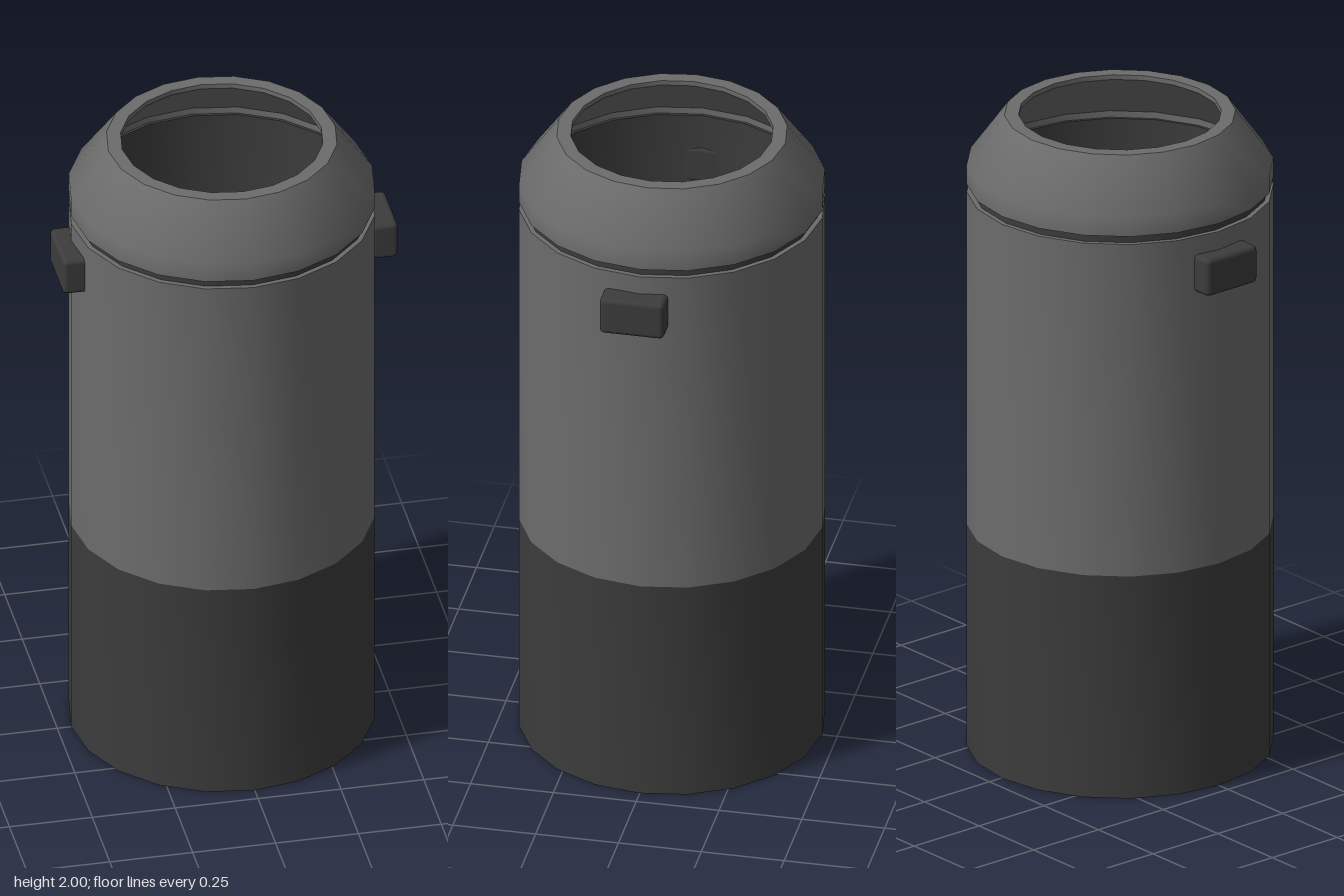
import * as THREE from 'three';
import { toCreasedNormals } from 'three/addons/utils/BufferGeometryUtils.js';
import { RoundedBoxGeometry } from 'three/addons/geometries/RoundedBoxGeometry.js';

const SIDES = 20;
const R = 0.454;

const grey = new THREE.MeshStandardMaterial({ color: 0x6c6c6c });
const dark = new THREE.MeshStandardMaterial({ color: 0x3c3c3c });

// Turns a [radius, height] profile into a round part; edges sharper than `crease` stay hard
function turned(name, profile, material, crease = 0.7) {
  const points = profile.map(([r, y]) => new THREE.Vector2(r, y));
  let geometry = new THREE.LatheGeometry(points, SIDES);
  if (crease) geometry = toCreasedNormals(geometry, crease);
  const mesh = new THREE.Mesh(geometry, material);
  mesh.name = name;
  return mesh;
}

export function createModel() {
  const model = new THREE.Group();
  model.name = 'bin';

  const drum = new THREE.Group();
  drum.name = 'drum';
  drum.position.x = -0.004;
  model.add(drum);

  // Dark lower band with closed bottom, lighter shell above it
  drum.add(turned('baseBand', [[0, 0], [R, 0], [R, 0.705]], dark));
  drum.add(turned('shell', [[R, 0.705], [R, 1.76], [0.43, 1.76]], grey));

  // Liner: its collar shows in the groove under the lid, its inside is a smooth cup
  drum.add(turned('linerCollar', [[0.439, 1.72], [0.439, 1.81], [0.43, 1.81]], dark));
  drum.add(turned('linerCup', [[0.43, 1.81], [0.43, 0.03], [0, 0.03]], dark, 0));

  // Hollow conical lid with a round opening
  drum.add(turned('lid', [
    [0.44, 1.785], [R, 1.785], [R, 1.845], [0.342, 2], [0.3, 2],
    [0.3, 1.985], [0.44, 1.83], [0.44, 1.785],
  ], grey));

  // Side grips
  for (const side of [-1, 1]) {
    const grip = new THREE.Mesh(new RoundedBoxGeometry(0.08, 0.118, 0.195, 2, 0.015), dark);
    grip.name = side > 0 ? 'leftGrip' : 'rightGrip';
    grip.position.set(side * 0.466, 1.643, 0.014);
    model.add(grip);
  }

  return model;
}
